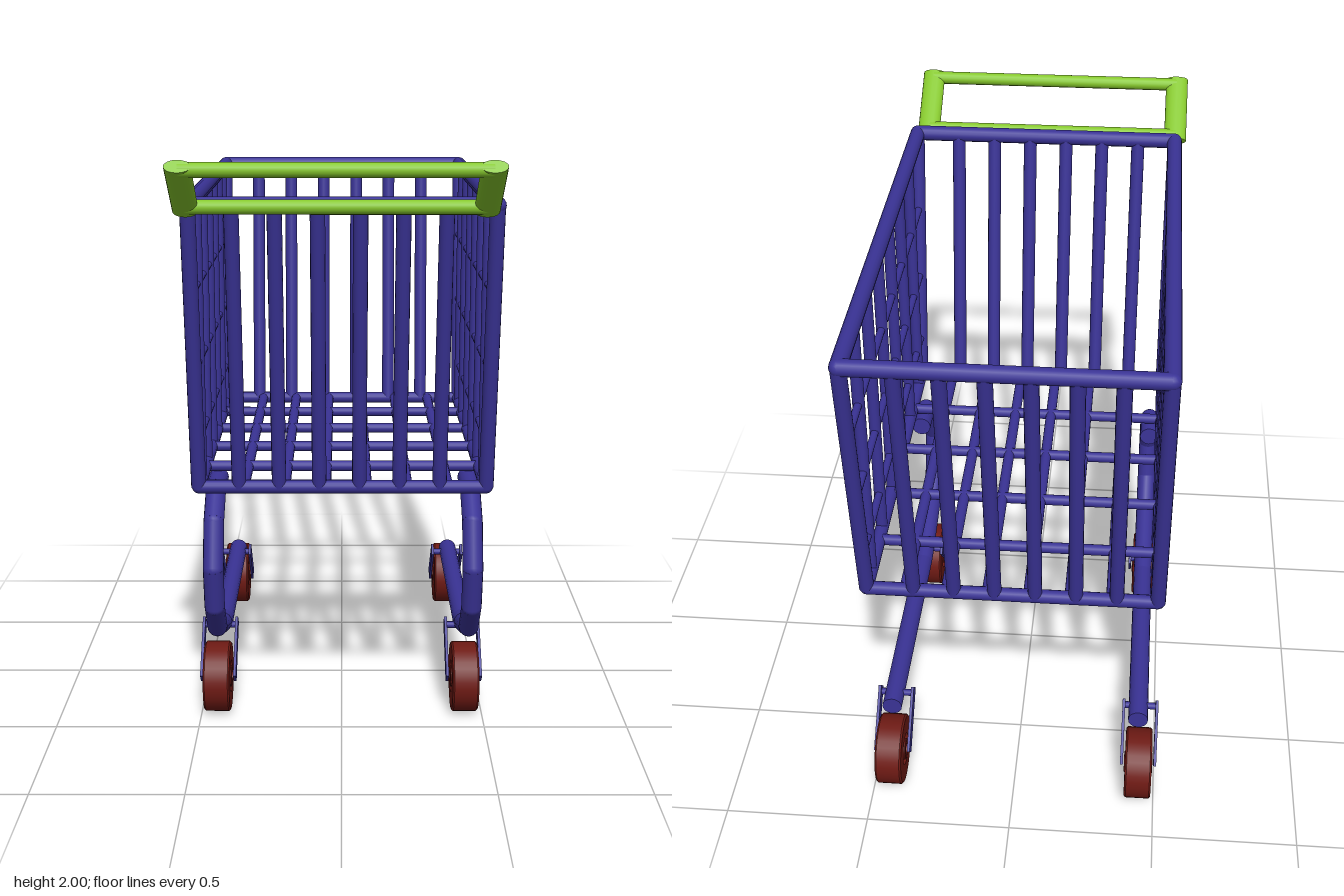
import * as THREE from 'three';

const blue = new THREE.MeshStandardMaterial({ color: 0x3a3396 });
const red = new THREE.MeshStandardMaterial({ color: 0x6e1a14 });
const green = new THREE.MeshStandardMaterial({ color: 0x86c82c });
const UP = new THREE.Vector3(0, 1, 0);

function add(parent, name, geometry, material) {
  const mesh = new THREE.Mesh(geometry, material);
  mesh.name = name;
  parent.add(mesh);
  return mesh;
}

function group(parent, name) {
  const g = new THREE.Group();
  g.name = name;
  parent.add(g);
  return g;
}

// Straight round bar between two points
function rod(parent, name, a, b, r, material = blue) {
  const p = new THREE.Vector3(...a), q = new THREE.Vector3(...b);
  const dir = q.clone().sub(p);
  const mesh = add(parent, name, new THREE.CylinderGeometry(r, r, dir.length(), 16), material);
  mesh.position.copy(p).add(q).multiplyScalar(0.5);
  mesh.quaternion.setFromUnitVectors(UP, dir.normalize());
  return mesh;
}

// Bent bar: straight pieces with rounded joints
function bentRod(parent, name, pts, r, closed = false) {
  const n = pts.length;
  pts.forEach((p, i) => {
    if (closed || i < n - 1) rod(parent, name, p, pts[(i + 1) % n], r);
    if (closed || (i > 0 && i < n - 1)) {
      add(parent, name + 'Joint', new THREE.SphereGeometry(r, 16, 10), blue).position.set(...p);
    }
  });
}

// Basket extents
const XL = 0.483, XR = -0.478, TOP = 1.845, BOTTOM = 0.89;
const lerp = THREE.MathUtils.lerp;
const frontZ = y => lerp(0.54, 0.715, (y - BOTTOM) / (TOP - BOTTOM));
const backZ = y => lerp(-0.79, -0.945, (y - BOTTOM) / (TOP - BOTTOM));

function buildBasket(parent) {
  const basket = group(parent, 'basket');
  const loop = y => [[XR, y, frontZ(y)], [XL, y, frontZ(y)], [XL, y, backZ(y)], [XR, y, backZ(y)]];
  const top = loop(TOP), bottom = loop(BOTTOM);
  bentRod(basket, 'topRim', top, 0.027, true);
  bentRod(basket, 'bottomRim', bottom, 0.023, true);
  top.forEach((p, i) => rod(basket, 'cornerPost', p, bottom[i], 0.025));

  // Front and back bars, and the lengthwise floor bars
  for (let i = 0; i < 6; i++) {
    const x = -0.343 + i * 0.134;
    for (const z of [frontZ, backZ]) {
      rod(basket, 'endBar', [x, BOTTOM, z(BOTTOM)], [x, TOP, z(TOP)], 0.024);
    }
    const fx = -0.327 + i * 0.1365;
    rod(basket, 'floorBar', [fx, BOTTOM, 0.54], [fx, BOTTOM, -0.79], 0.019);
  }
  for (const z of [0.28, 0.01, -0.265, -0.535]) {
    rod(basket, 'floorCrossBar', [XR, BOTTOM, z], [XL, BOTTOM, z], 0.019);
  }

  // Side walls
  for (const x of [XR, XL]) {
    for (let i = 0; i < 6; i++) {
      const z = 0.445 - i * 0.2285;
      rod(basket, 'sideBar', [x, BOTTOM, z], [x, TOP, z], 0.02);
    }
    for (const y of [1.045, 1.3, 1.56]) {
      rod(basket, 'sideRail', [x, y, frontZ(y)], [x, y, backZ(y)], 0.013);
    }
  }
}

function buildHandle(parent) {
  const handle = group(parent, 'handle');
  const xs = [-0.48, 0.447];
  for (const [y, z] of [[1.845, 0.767], [1.972, 0.948]]) {
    rod(handle, 'handleBar', [xs[0], y, z], [xs[1], y, z], 0.023, green);
  }
  // Flattened side arms
  for (const x of xs) {
    rod(handle, 'handleArm', [x, 1.831, 0.747], [x, 1.984, 0.965], 0.022, green).scale.x = 1.85;
  }
}

// Ring turned about the x axis from a rectangular section
function ring(parent, name, inner, outer, width, bevel) {
  const h = width / 2;
  const profile = [
    [inner, -h], [outer - bevel, -h], [outer, -h + bevel],
    [outer, h - bevel], [outer - bevel, h], [inner, h], [inner, -h],
  ].map(p => new THREE.Vector2(...p));
  // Doubled corners keep the section edges crisp
  const crisp = profile.flatMap((p, i) => (i && i < profile.length - 1 ? [p, p.clone()] : [p]));
  const mesh = add(parent, name, new THREE.LatheGeometry(crisp, 32), red);
  mesh.rotation.z = Math.PI / 2;
}

function buildWheel(parent, x, z, side) {
  const wheel = group(parent, 'wheel');
  wheel.position.set(x, 0.125, z);
  ring(wheel, 'tyre', 0.057, 0.124, 0.093, 0.006);
  ring(wheel, 'hub', 0.02, 0.038, 0.1, 0.003);

  // Two thin fork plates slanting up to the frame
  const fork = group(wheel, 'fork');
  for (const dx of [-0.059, 0.059]) {
    const plate = add(fork, 'forkPlate', new THREE.BoxGeometry(0.01, 0.23, 0.05), blue);
    plate.position.set(dx, 0.073, side * 0.075);
    plate.rotation.x = side * Math.PI / 4;
  }
  rod(fork, 'forkPin', [-0.059, 0.14, side * 0.142], [0.059, 0.14, side * 0.142], 0.012);
}

function buildFrame(parent) {
  // Curved leg and lower rail as (y, z)
  const path = [
    [0.837, 0.235], [0.832, 0.37], [0.75, 0.485], [0.6, 0.545],
    [0.455, 0.515], [0.345, 0.42], [0.275, 0.2], [0.26, 0.12], [0.26, -0.7],
  ];
  for (const x of [-0.435, 0.445]) {
    const frame = group(parent, x > 0 ? 'leftFrame' : 'rightFrame');
    bentRod(frame, 'frameTube', path.map(([y, z]) => [x, y, z]), 0.035);
    const wx = x > 0 ? 0.438 : -0.442;
    buildWheel(frame, wx, 0.34, -1);
    buildWheel(frame, wx, -0.773, 1);
  }
}

export function createModel() {
  const model = new THREE.Group();
  model.name = 'shoppingCart';
  buildBasket(model);
  buildHandle(model);
  buildFrame(model);
  return model;
}
